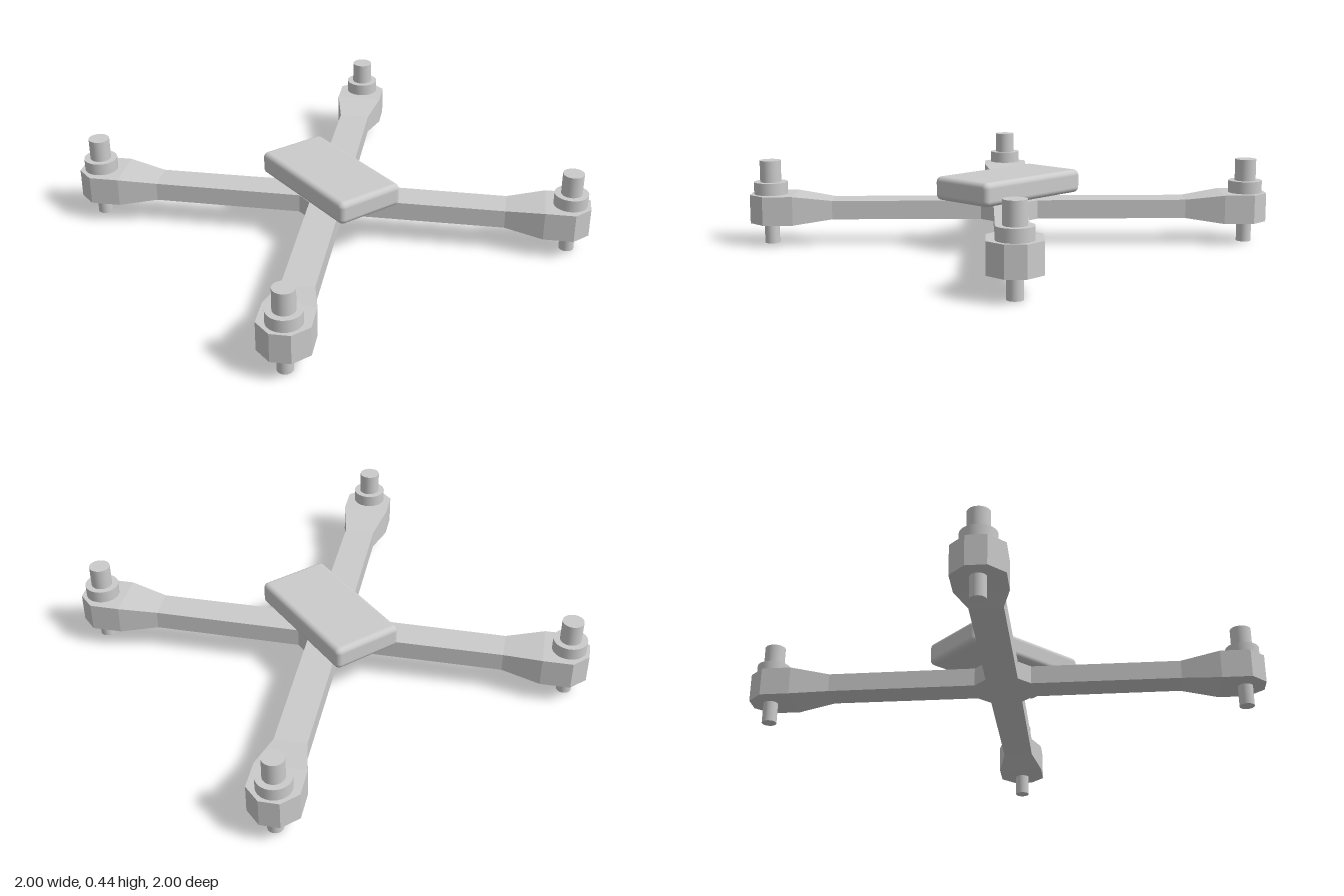
import * as THREE from 'three';
import { RoundedBoxGeometry } from 'three/addons/geometries/RoundedBoxGeometry.js';

const smooth = new THREE.MeshStandardMaterial({ color: 0xcccccc });
const flat = new THREE.MeshStandardMaterial({ color: 0xcccccc, flatShading: true });

function part(name, geometry, material, x = 0, y = 0, z = 0) {
  const mesh = new THREE.Mesh(geometry, material);
  mesh.name = name;
  mesh.position.set(x, y, z);
  return mesh;
}

// Upright cylinder between two heights
function post(name, radius, y0, y1, x) {
  const geometry = new THREE.CylinderGeometry(radius, radius, y1 - y0, 32);
  return part(name, geometry, smooth, x, (y0 + y1) / 2, 0);
}

// Arm lofted along +x from rectangular sections: [distance, half width, bottom, top]
function armGeometry() {
  const sections = [
    [0.148, 0.084, 0.137, 0.235],
    [0.93, 0.082, 0.137, 0.235],
    [1.131, 0.127, 0.112, 0.263],
    [1.287, 0.127, 0.112, 0.263],
    [1.364, 0.05, 0.112, 0.263],
  ].map(([u, w, y0, y1]) => [[u, y0, -w], [u, y1, -w], [u, y1, w], [u, y0, w]]);
  const points = [];
  for (let i = 0; i < sections.length - 1; i++) {
    const [p, q] = [sections[i], sections[i + 1]];
    for (let k = 0; k < 4; k++) {
      const n = (k + 1) % 4;
      points.push(p[k], p[n], q[k], p[n], q[n], q[k]);
    }
  }
  const end = sections[sections.length - 1];
  points.push(end[0], end[1], end[2], end[0], end[2], end[3]);
  const geometry = new THREE.BufferGeometry();
  geometry.setAttribute('position', new THREE.Float32BufferAttribute(points.flat(), 3));
  geometry.computeVertexNormals();
  return geometry;
}

// Eight-sided block where the arms meet
function hubGeometry() {
  const a = 0.045, b = 0.165;
  const outline = [[b, -a], [b, a], [a, b], [-a, b], [-b, a], [-b, -a], [-a, -b], [a, -b]];
  const shape = new THREE.Shape(outline.map(([x, y]) => new THREE.Vector2(x, y)));
  const geometry = new THREE.ExtrudeGeometry(shape, { depth: 0.098, bevelEnabled: false });
  return geometry.rotateX(-Math.PI / 2);
}

export function createModel() {
  const model = new THREE.Group();
  model.name = 'quadcopterFrame';

  model.add(part('hub', hubGeometry(), flat, 0, 0.137, 0));
  model.add(part('body', new RoundedBoxGeometry(0.724, 0.124, 0.382, 5, 0.03), smooth, 0, 0.308, 0));

  // Four diagonal arms, each with a motor and a foot
  const arm = armGeometry();
  const names = ['backLeft', 'backRight', 'frontRight', 'frontLeft'];
  names.forEach((name, i) => {
    const group = new THREE.Group();
    group.name = name + 'Arm';
    group.add(part('arm', arm, flat));
    group.add(post('motorCollar', 0.088, 0.25, 0.327, 1.26));
    group.add(post('motorShaft', 0.055, 0.32, 0.441, 1.26));
    group.add(post('foot', 0.039, 0, 0.13, 1.26));
    group.rotation.y = Math.PI / 4 + i * Math.PI / 2;
    model.add(group);
  });
  return model;
}
